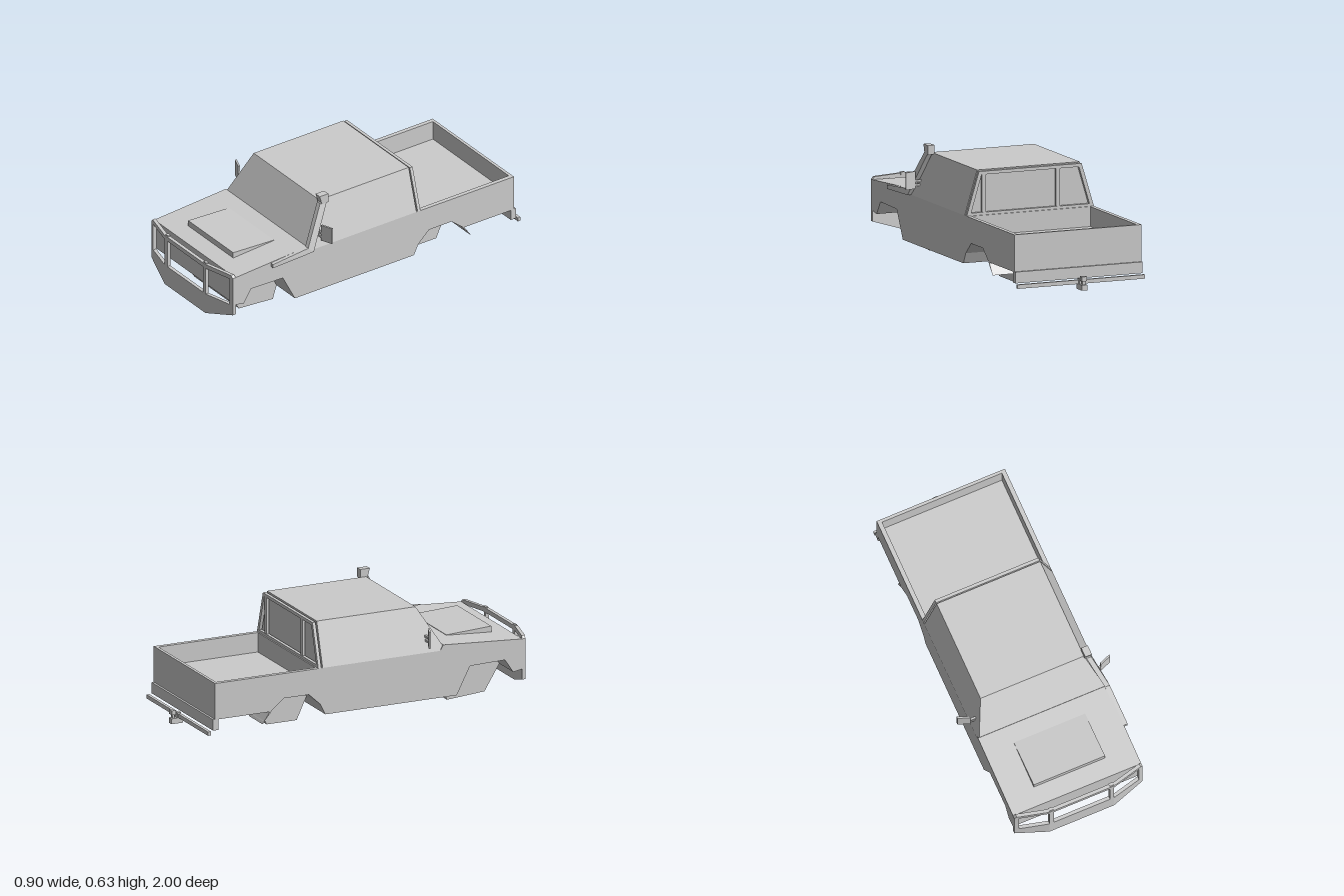
import * as THREE from 'three';

const grey = new THREE.MeshStandardMaterial({ color: 0xcccccc, flatShading: true, side: THREE.DoubleSide });

function add(parent, name, geometry) {
  const mesh = new THREE.Mesh(geometry, grey);
  mesh.name = name;
  parent.add(mesh);
  return mesh;
}

const toShape = (pts) => new THREE.Shape(pts.map(([a, b]) => new THREE.Vector2(a, b)));

// Extrude a (z, y) side profile across the car between two x positions
function sideProfile(pts, x0, x1) {
  const g = new THREE.ExtrudeGeometry(toShape(pts), { depth: x1 - x0, bevelEnabled: false });
  return g.rotateY(-Math.PI / 2).translate(x1, 0, 0);
}

// Extrude an (x, y) front profile with optional holes, starting at z
function frontProfile(pts, z, depth, holes = []) {
  const shape = toShape(pts);
  holes.forEach((h) => shape.holes.push(toShape(h)));
  return new THREE.ExtrudeGeometry(shape, { depth, bevelEnabled: false }).translate(0, 0, z);
}

// Box from its limits
function box(x0, x1, y0, y1, z0, z1) {
  return new THREE.BoxGeometry(x1 - x0, y1 - y0, z1 - z0)
    .translate((x0 + x1) / 2, (y0 + y1) / 2, (z0 + z1) / 2);
}

// Move every vertex by a rule
function reshape(g, rule) {
  const p = g.attributes.position;
  const v = new THREE.Vector3();
  for (let i = 0; i < p.count; i++) {
    rule(v.fromBufferAttribute(p, i));
    p.setXYZ(i, v.x, v.y, v.z);
  }
  g.computeVertexNormals();
  return g;
}

const HALF = 0.378; // body half width
const ROOF = 0.305; // roof half width
const RAIL = 0.345; // bed rail height

export function createModel() {
  const model = new THREE.Group();
  model.name = 'pickupTruck';
  const car = new THREE.Group();
  car.name = 'vehicle';
  car.position.x = -0.0075;
  model.add(car);

  // Body with bonnet, wheel arches and the bed recess
  add(car, 'body', sideProfile([
    [0.935, RAIL], [0.46, 0.376], [0.44, RAIL], [-0.3, RAIL], [-0.3, 0.235], [-0.897, 0.235],
    [-0.897, RAIL], [-0.914, RAIL], [-0.914, 0.14], [-0.58, 0.14], [-0.5, 0.205], [-0.35, 0.205],
    [-0.28, 0.14], [-0.25, 0.08], [0.54, 0.08], [0.62, 0.235], [0.83, 0.24], [0.88, 0.165], [0.935, 0.175],
  ], -HALF, HALF));

  // Underbody blocks between the wheels
  add(car, 'frontAxleHousing', sideProfile([
    [0.83, 0.24], [0.88, 0.165], [0.79, 0.02], [0.565, 0.003], [0.54, 0.08], [0.62, 0.235],
  ], -0.207, 0.207));
  add(car, 'rearAxleHousing', sideProfile([
    [-0.35, 0.205], [-0.28, 0.14], [-0.34, 0.012], [-0.52, 0.012], [-0.58, 0.14], [-0.5, 0.205],
  ], -0.207, 0.207));

  // Cab tapering to the roof, with a raked windscreen
  const cab = box(-1, 1, RAIL, 0.59, -0.267, 0.475);
  add(car, 'cab', reshape(cab, (v) => {
    const top = v.y > 0.5;
    v.x *= top ? ROOF : HALF;
    if (v.z > 0) v.z = top ? 0.327 : 0.475;
  }));

  // Bonnet scoop
  add(car, 'bonnetScoop', sideProfile([
    [0.83, 0.345], [0.83, 0.385], [0.56, 0.372], [0.56, 0.345],
  ], -0.21, 0.21));

  // Frame behind the cab, with its uprights
  const inner = (y) => HALF - 0.022 - (y - RAIL) * 0.3;
  add(car, 'rearFrame', frontProfile(
    [[-HALF, RAIL], [HALF, RAIL], [ROOF, 0.585], [-ROOF, 0.585]], -0.293, 0.018,
    [[[-inner(0.36), 0.36], [-inner(0.567), 0.567], [inner(0.567), 0.567], [inner(0.36), 0.36]]],
  ));
  for (const x of [-0.165, 0.275]) {
    add(car, 'rearFrameUpright', box(x - 0.011, x + 0.011, RAIL, 0.575, -0.291, -0.275));
  }

  // Paired parts on both sides
  for (const s of [-1, 1]) {
    const side = new THREE.Group();
    side.name = s > 0 ? 'leftSide' : 'rightSide';
    car.add(side);
    const span = (a, b) => (s > 0 ? [a, b] : [-b, -a]);

    add(side, 'bedWall', box(...span(0.353, HALF), 0.235, RAIL, -0.9, -0.3));
    add(side, 'mudFlap', sideProfile([
      [-0.575, 0.14], [-0.585, 0.14], [-0.628, 0.075], [-0.62, 0.088],
    ], ...span(0.207, HALF)));

    // Mirror plate swept back at its outer end, on two arms
    const plate = box(...span(0.385, 0.45), 0.39, 0.485, 0.35, 0.361);
    add(side, 'mirror', reshape(plate, (v) => { v.z += 0.012 - (Math.abs(v.x) - 0.385) * 0.38; }));
    for (const y of [0.41, 0.432]) {
      add(side, 'mirrorArm', box(...span(0.345, 0.39), y - 0.006, y + 0.006, 0.359, 0.371));
    }

    // Swept-back bull bar wing: lower panel, end post and top rail around one opening
    const wing = frontProfile([
      [0.19, 0.055], [HALF, 0.115], [HALF, 0.345], [0.365, 0.36], [0.19, 0.36],
      [0.19, 0.335], [0.354, 0.335], [0.354, 0.175], [0.19, 0.175],
    ].map(([x, y]) => [s * x, y]), 0.98, 0.02);
    add(side, 'bullBarWing', reshape(wing, (v) => { v.z -= (Math.abs(v.x) - 0.19) * 0.25; }));
    add(side, 'bullBarPostCap', box(...span(0.166, 0.19), 0.35, 0.366, 0.978, 0.995));
  }

  // Bull bar centre
  add(car, 'bullBarCentre', frontProfile(
    [[-0.19, 0.055], [0.19, 0.055], [0.19, 0.36], [-0.19, 0.36]], 0.98, 0.02,
    [[[-0.166, 0.175], [-0.166, 0.335], [0.166, 0.335], [0.166, 0.175]]],
  ));

  // Air intake along the left wing and windscreen pillar
  const lean = (v) => { v.x -= Math.max(0, v.y - 0.365) * 0.27; };
  add(car, 'intakePipe', reshape(sideProfile([
    [0.7, 0.335], [0.7, 0.357], [0.465, 0.377], [0.345, 0.59], [0.3, 0.59], [0.43, RAIL],
  ], 0.372, 0.4), lean));
  add(car, 'intakeHead', sideProfile([
    [0.35, 0.635], [0.293, 0.635], [0.293, 0.583], [0.335, 0.583],
  ], 0.303, 0.342));

  // Rear step, bar and tow hitch
  add(car, 'rearStep', box(-HALF, HALF, 0.08, 0.142, -0.926, -0.893));
  add(car, 'rearBar', box(-HALF, HALF, 0.055, 0.077, -0.957, -0.94));
  add(car, 'hitchTongue', box(-0.016, 0.016, 0.025, 0.055, -1, -0.93));
  add(car, 'hitchPost', box(-0.016, 0.016, 0.05, 0.085, -0.965, -0.942));
  add(car, 'hitchNeck', box(-0.009, 0.009, 0.05, 0.08, -0.989, -0.977));
  add(car, 'hitchHead', box(-0.016, 0.016, 0.075, 0.1, -0.998, -0.972));

  return model;
}
